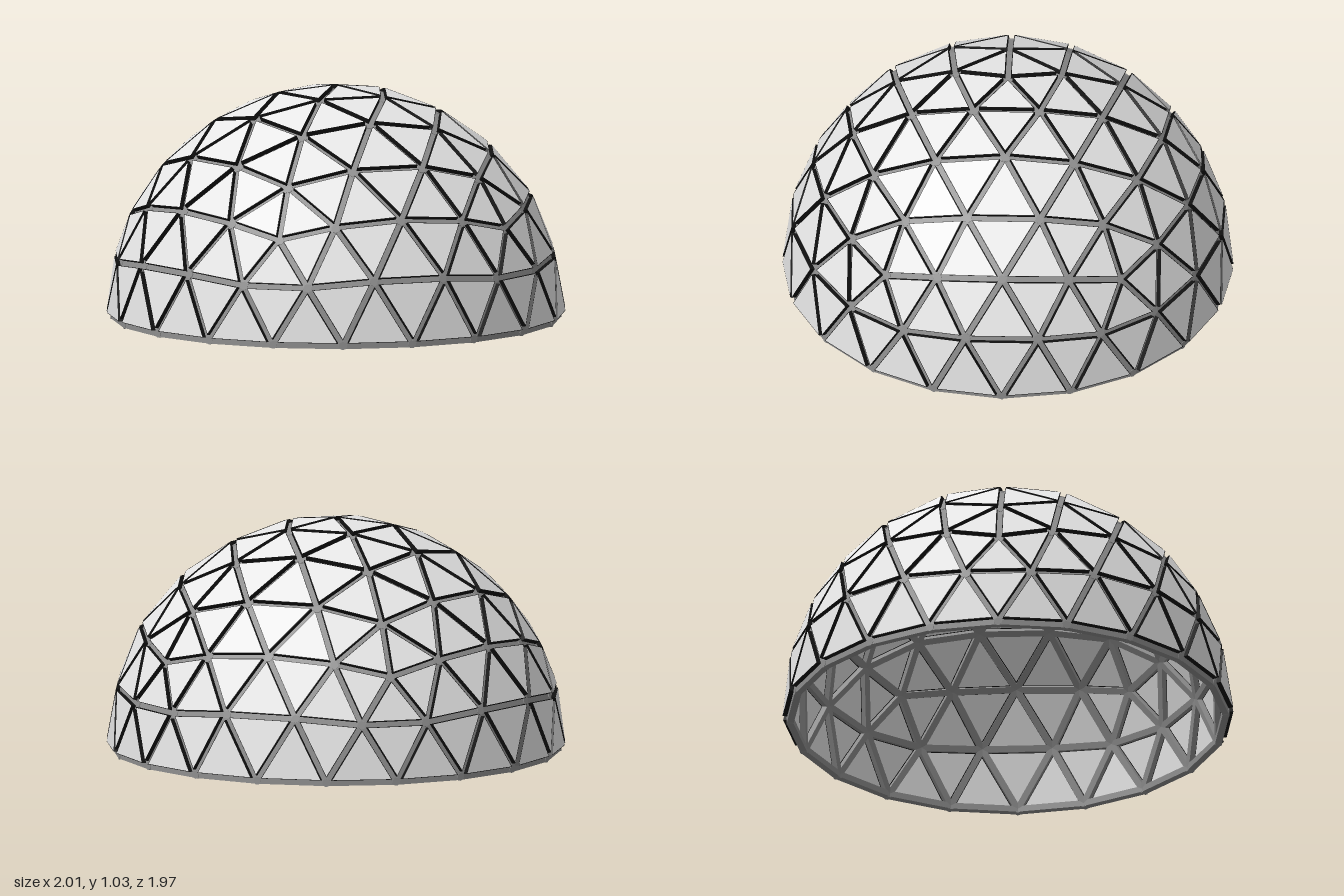
import * as THREE from 'three';
import { mergeGeometries } from 'three/addons/utils/BufferGeometryUtils.js';

const R = 0.971;              // node radius along x
const BASE_Y = 0.018;         // height of the base ring centre line
const WIDTH = 0.028, DEPTH = 0.03;   // strut section
const INNER = 0.012, OUTER = 0.036;  // panel back and front, measured from the frame plane
const GAP = 0.01;                    // inset of the panel's outer edge
const SEAL_FRONT = 0.0125, SEAL_BACK = 0.0165;  // inset of the pane inside its seal

const material = (name, color) => Object.assign(new THREE.MeshStandardMaterial({ color }), { name });

// Flat-shaded geometry from a list of corner points
function fromPoints(points) {
  const g = new THREE.BufferGeometry().setFromPoints(points);
  g.computeVertexNormals();
  return g;
}

// Triangle shrunk by an even inset and lifted along its normal
function insetTriangle(tri, inset, lift) {
  const [a, b, c] = tri;
  const la = b.distanceTo(c), lb = c.distanceTo(a), lc = a.distanceTo(b), sum = la + lb + lc;
  const centre = new THREE.Vector3().addScaledVector(a, la / sum).addScaledVector(b, lb / sum).addScaledVector(c, lc / sum);
  const t = new THREE.Triangle(a, b, c);
  const radius = 2 * t.getArea() / sum;
  const normal = t.getNormal(new THREE.Vector3());
  return tri.map(v => v.clone().sub(centre).multiplyScalar(1 - inset / radius).add(centre).addScaledVector(normal, lift));
}

// Flat pane: front and back face
function pane(tri) {
  const back = insetTriangle(tri, SEAL_BACK, INNER);
  return fromPoints([...insetTriangle(tri, SEAL_FRONT, OUTER), back[0], back[2], back[1]]);
}

// Thin dark band around the pane: front, outer side and back
function seal(tri) {
  const loops = [[SEAL_FRONT, OUTER], [GAP, OUTER], [GAP, INNER], [SEAL_BACK, INNER]].map(([i, l]) => insetTriangle(tri, i, l));
  const points = [];
  for (let k = 0; k < 3; k++) {
    const p = loops[k], q = loops[k + 1];
    for (let i = 0; i < 3; i++) {
      const j = (i + 1) % 3;
      points.push(p[i], q[i], q[j], p[i], q[j], p[j]);
    }
  }
  return fromPoints(points);
}

// Box beam between two nodes, its depth pointing outward
function strut(a, b) {
  const along = b.clone().sub(a).normalize();
  const side = along.clone().cross(a.clone().add(b)).normalize();
  const m = new THREE.Matrix4().makeBasis(along, side.clone().cross(along), side);
  m.setPosition(a.clone().add(b).multiplyScalar(0.5));
  return new THREE.BoxGeometry(a.distanceTo(b), DEPTH, WIDTH).applyMatrix4(m);
}

// Small disc-shaped connector at a node
function hub(p) {
  const q = new THREE.Quaternion().setFromUnitVectors(new THREE.Vector3(0, 1, 0), p.clone().normalize());
  return new THREE.CylinderGeometry(0.018, 0.018, DEPTH, 10).applyQuaternion(q).translate(p.x, p.y, p.z);
}

export function createModel() {
  const paneGrey = material('paneGrey', 0xefefef);
  const frameGrey = material('frameGrey', 0x8e8e8e);
  const sealBlack = material('sealBlack', 0x111111);

  // Four-frequency geodesic node net with a node at the top, slightly narrower in z; keep the upper half
  const sphere = new THREE.IcosahedronGeometry(R, 3);
  sphere.rotateZ(Math.atan(2 / (1 + Math.sqrt(5)))).scale(1, 1.008, 0.982);
  const pos = sphere.attributes.position;
  const nodes = new Map(), edges = new Map(), triangles = [];
  const key = v => v.toArray().map(n => Math.round(n * 1000) + 0).join(',');
  for (let i = 0; i < pos.count; i += 3) {
    const tri = [0, 1, 2].map(k => new THREE.Vector3().fromBufferAttribute(pos, i + k));
    if (tri[0].y + tri[1].y + tri[2].y < 0.01) continue;
    triangles.push(tri);
    tri.forEach((v, k) => {
      const w = tri[(k + 1) % 3];
      nodes.set(key(v), v);
      edges.set([key(v), key(w)].sort().join('|'), [v, w]);
    });
  }

  const dome = new THREE.Group();
  dome.name = 'geodesicDome';
  const add = (name, parts, mat) => {
    const mesh = new THREE.Mesh(mergeGeometries(parts), mat);
    mesh.name = name;
    mesh.position.y = BASE_Y;
    dome.add(mesh);
  };
  add('panels', triangles.map(pane), paneGrey);
  add('panelSeals', triangles.map(seal), sealBlack);
  add('struts', [...edges.values()].map(([a, b]) => strut(a, b)), frameGrey);
  add('hubs', [...nodes.values()].map(hub), frameGrey);
  return dome;
}
